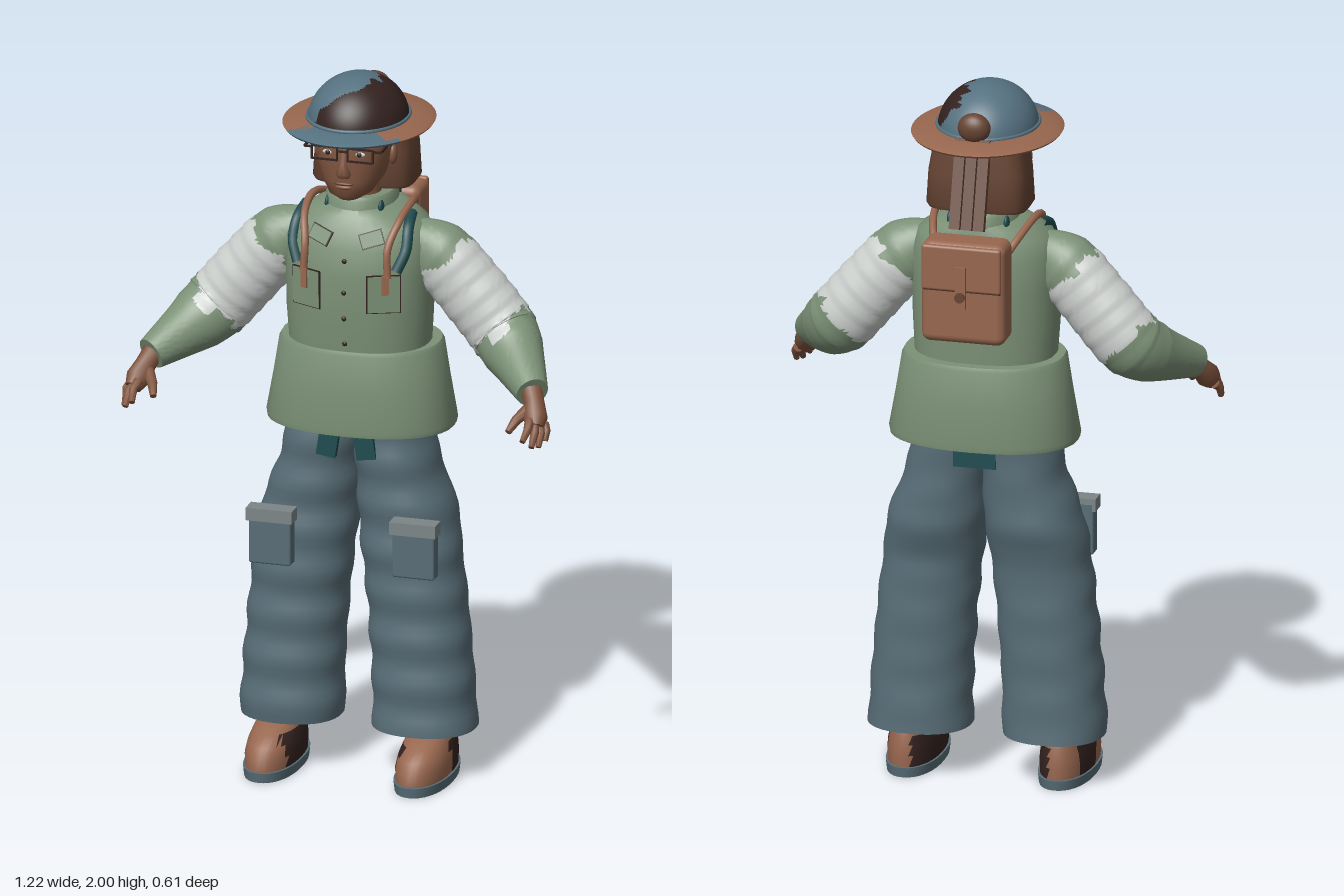
import * as THREE from 'three';
import { toCreasedNormals } from 'three/addons/utils/BufferGeometryUtils.js';
import { RoundedBoxGeometry } from 'three/addons/geometries/RoundedBoxGeometry.js';

const V = (x, y, z) => new THREE.Vector3(x, y, z);
const UP = V(0, 1, 0);

export function createModel() {
  const model = new THREE.Group();
  const colour = (name, color) => Object.assign(new THREE.MeshStandardMaterial({ color }), { name });
  const green = colour('jacket green', 0x7c9177), denim = colour('denim', 0x586d77);
  const blue = colour('helmet blue', 0x557180), leather = colour('leather', 0x98674f);
  const skin = colour('skin', 0x80553f), hairBrown = colour('hair brown', 0x664433);
  const dark = colour('dark brown', 0x33221f), white = colour('bandage white', 0xccd0cd);
  const teal = colour('teal', 0x1f4c50), grey = colour('flap grey', 0x7c8587);

  const add = (name, geo, mat, x = 0, y = 0, z = 0, parent = model) => {
    const m = new THREE.Mesh(geo, mat);
    m.name = name;
    m.position.set(x, y, z);
    parent.add(m);
    return m;
  };
  const box = (name, w, h, d, mat, x, y, z) => add(name, new THREE.BoxGeometry(w, h, d), mat, x, y, z);
  const ball = (name, rx, ry, rz, mat, x, y, z) =>
    add(name, new THREE.SphereGeometry(1, 24, 16).scale(rx, ry, rz), mat, x, y, z);

  // Skin over closed cross-sections: { c: centre, rx, rz, t: direction }
  const loft = (rings, p = 2, sides = 36, crease = 0.9) => {
    const pos = [], idx = [], pw = (v) => Math.sign(v) * Math.abs(v) ** (2 / p);
    rings.forEach(({ c, rx, rz, t = UP }) => {
      const v = V(0, 0, 1).addScaledVector(t, -t.z).normalize(), u = t.clone().cross(v);
      for (let j = 0; j < sides; j++) {
        const a = (j / sides) * Math.PI * 2;
        const q = c.clone().addScaledVector(u, rx * pw(Math.cos(a))).addScaledVector(v, rz * pw(Math.sin(a)));
        pos.push(q.x, q.y, q.z);
      }
    });
    const n = rings.length, first = n * sides, last = first + 1;
    for (const r of [rings[0], rings[n - 1]]) pos.push(r.c.x, r.c.y, r.c.z);
    for (let j = 0; j < sides; j++) {
      const k = (j + 1) % sides, top = (n - 1) * sides;
      for (let i = 0; i < n - 1; i++) {
        const a = i * sides + j, b = i * sides + k;
        idx.push(a, a + sides, b, b, a + sides, b + sides);
      }
      idx.push(first, j, k, last, top + k, top + j);
    }
    const g = new THREE.BufferGeometry();
    g.setAttribute('position', new THREE.Float32BufferAttribute(pos, 3));
    g.setIndex(idx);
    return toCreasedNormals(g, crease);
  };
  // Rows are [y, centre x, centre z, rx, rz]
  const rowAt = (rows, y) => {
    let i = 0;
    while (i < rows.length - 2 && rows[i + 1][0] < y) i++;
    const f = (y - rows[i][0]) / (rows[i + 1][0] - rows[i][0]);
    return rows[i].map((v, k) => v + (rows[i + 1][k] - v) * f);
  };
  const stack = (rows, p, s = 1) =>
    loft(rows.map(([y, x, z, rx, rz]) => ({ c: V(s * x, y, z), rx, rz })), p);
  // Tapered rod through points with a radius at each
  const rod = (pts, radii) => loft(pts.map((c, i) => ({
    c, rx: radii[i], rz: radii[i],
    t: pts[Math.min(i + 1, pts.length - 1)].clone().sub(pts[Math.max(i - 1, 0)]).normalize(),
  })), 2, 10);
  // Give each triangle a material index from its centre
  const paint = (geo, rule) => {
    const g = geo.index ? geo.toNonIndexed() : geo, p = g.attributes.position;
    g.clearGroups();
    let start = 0, current = -1;
    for (let i = 0; i < p.count; i += 3) {
      const c = V(0, 0, 0);
      for (let k = 0; k < 3; k++) c.add(V(p.getX(i + k), p.getY(i + k), p.getZ(i + k)));
      const m = rule(c.divideScalar(3));
      if (m !== current) {
        if (i) g.addGroup(start, i - start, current);
        start = i;
        current = m;
      }
    }
    g.addGroup(start, p.count - start, current);
    return g;
  };

  // Jacket
  const torso = [[1.2, 0, -0.015, 0.195, 0.145], [1.33, 0, -0.01, 0.203, 0.155], [1.45, 0, -0.01, 0.205, 0.157],
    [1.53, 0, -0.012, 0.205, 0.15], [1.585, 0, -0.018, 0.185, 0.135], [1.615, 0, -0.025, 0.135, 0.125],
    [1.635, 0, -0.03, 0.09, 0.115]];
  add('jacketBody', stack(torso, 2.3), green);
  add('jacketSkirt', stack([[0.995, 0, -0.027, 0.262, 0.178], [1.01, 0, -0.027, 0.265, 0.18],
    [1.12, 0, -0.027, 0.245, 0.173], [1.225, 0, -0.027, 0.228, 0.167], [1.236, 0, -0.027, 0.222, 0.163]], 2.3), green);
  add('collar', stack([[1.6, 0, -0.03, 0.098, 0.12], [1.655, 0, -0.03, 0.096, 0.118],
    [1.665, 0, -0.03, 0.09, 0.112]], 2.2), green);
  const chestZ = (x, y) => {
    const [, , cz, rx, rz] = rowAt(torso, y);
    return cz + rz * Math.max(0, 1 - Math.abs(x / rx) ** 2.3) ** (1 / 2.3);
  };
  const plate = (name, w, h, d, mat, x, y, lift = 0, roll = 0) => {
    const m = box(name, w, h, d, mat, x, y, chestZ(x, y) + lift);
    m.rotation.order = 'YXZ';
    m.rotation.y = -Math.atan((chestZ(x + w / 2, y) - chestZ(x - w / 2, y)) / w);
    m.rotation.x = -Math.atan((chestZ(x, y - 0.02) - chestZ(x, y + 0.02)) / 0.04);
    m.rotation.z = roll;
  };
  for (const y of [1.26, 1.335, 1.41, 1.5]) ball('button', 0.007, 0.007, 0.005, dark, 0, y, chestZ(0, y));

  // Helmet
  const wobble = (a) => 0.012 * Math.sin(a * 70) + 0.008 * Math.sin(a * 163 + 1);
  const dome = new THREE.SphereGeometry(1, 96, 36, 0, Math.PI * 2, 0, Math.PI / 2).scale(0.138, 0.132, 0.16);
  add('helmetDome', paint(dome, ({ x, y, z }) =>
    (z > -0.09 + wobble(x + y) && x > 0.05 - 2 * Math.max(0, z - 0.06) + wobble(z + y)
      && x > -0.11 && y > 0.01 ? 1 : 0)), [blue, dark], 0, 1.868, 0.007);
  const brim = new THREE.LatheGeometry([[0.4, 1.868], [0.66, 1.868], [0.98, 1.862], [1, 1.868], [0.95, 1.874],
    [0.66, 1.882], [0.4, 1.882], [0.4, 1.868]].map(([r, y]) => new THREE.Vector2(r, y)), 96).scale(0.207, 1, 0.247);
  add('helmetBrim', paint(toCreasedNormals(brim, 0.6), ({ x, z }) => (z > 0.15 + 0.3 * wobble(x) ? 1 : 0)),
    [leather, blue]);
  const band = new THREE.TorusGeometry(1, 0.035, 8, 64).rotateX(Math.PI / 2).scale(0.139, 0.16, 0.161);
  add('helmetBand', band, blue, 0, 1.884, 0.007);
  ball('helmetKnot', 0.046, 0.042, 0.032, hairBrown, 0, 1.915, -0.145);
  for (const x of [-0.034, 0, 0.034])
    add('helmetRibbon', new THREE.BoxGeometry(0.03, 0.25, 0.022), hairBrown, x, 1.765, -0.187).rotation.x = 0.29;

  // Head and hair
  add('head', stack([[1.672, 0, 0.08, 0.03, 0.045], [1.69, 0, 0.07, 0.06, 0.078], [1.73, 0, 0.05, 0.086, 0.1],
    [1.78, 0, 0.043, 0.1, 0.11], [1.83, 0, 0.043, 0.106, 0.11], [1.88, 0, 0.04, 0.1, 0.105]], 2.2), skin);
  add('neck', new THREE.CylinderGeometry(0.06, 0.065, 0.14, 24), skin, 0, 1.65, 0);
  add('hair', stack([[1.675, 0, -0.075, 0.138, 0.086], [1.685, 0, -0.075, 0.144, 0.09], [1.78, 0, -0.075, 0.138, 0.09],
    [1.875, 0, -0.07, 0.122, 0.085]], 4), hairBrown);
  add('nose', stack([[1.745, 0, 0.145, 0.018, 0.014], [1.757, 0, 0.147, 0.022, 0.02], [1.785, 0, 0.147, 0.012, 0.014],
    [1.82, 0, 0.147, 0.008, 0.006]], 2), skin);
  ball('upperLip', 0.028, 0.006, 0.01, hairBrown, 0, 1.727, 0.146);
  ball('lowerLip', 0.024, 0.007, 0.01, skin, 0, 1.717, 0.146);
  box('glassesBridge', 0.03, 0.005, 0.005, dark, 0, 1.825, 0.163);

  for (const s of [-1, 1]) {
    // Face
    ball('eyeWhite', 0.016, 0.007, 0.006, white, s * 0.045, 1.815, 0.144);
    ball('iris', 0.007, 0.007, 0.004, dark, s * 0.045, 1.815, 0.149);
    box('eyebrow', 0.04, 0.006, 0.008, dark, s * 0.047, 1.846, 0.145);
    ball('ear', 0.012, 0.028, 0.016, skin, s * 0.106, 1.785, 0.03);
    box('templeHair', 0.012, 0.055, 0.045, hairBrown, s * 0.104, 1.845, 0.055);
    for (const y of [1.798, 1.835]) box('glassesRim', 0.072, 0.005, 0.005, dark, s * 0.051, y, 0.16);
    for (const x of [0.015, 0.087]) box('glassesRim', 0.005, 0.04, 0.005, dark, s * x, 1.8165, 0.16);
    box('glassesArm', 0.005, 0.006, 0.13, dark, s * 0.108, 1.83, 0.09).rotation.y = s * 0.02;
    box('glassesHinge', 0.024, 0.006, 0.005, dark, s * 0.098, 1.83, 0.156);

    // Sleeve with a wrapped bandage
    const path = new THREE.CatmullRomCurve3([V(s * 0.13, 1.535, -0.012), V(s * 0.22, 1.495, -0.015),
      V(s * 0.32, 1.39, -0.02), V(s * 0.41, 1.285, -0.012), V(s * 0.45, 1.25, 0.03), V(s * 0.545, 1.185, 0.165)]);
    const radii = [0.06, 0.095, 0.096, 0.096, 0.088, 0.046];
    const rings = [], N = 75;
    for (let i = 0; i <= N; i++) {
      const u = i / N, k = Math.min(4, Math.floor(u * 5)), f = u * 5 - k;
      const r = radii[k] + (radii[k + 1] - radii[k]) * f
        + (u > 0.24 && u < 0.64 ? 0.004 * ((u * 14) % 1) : 0);
      rings.push({ c: path.getPoint(u), rx: r, rz: r * (0.82 + 0.14 * u), t: path.getTangent(u) });
    }
    add('sleeve', paint(loft(rings, 2, 48), ({ x, y, z }) => {
      const along = (s * x - 0.21) * 0.68 - (y - 1.5) * 0.73, w = wobble(z + y * 0.5);
      return along > 0.035 + w && along < 0.275 + w ? 1 : 0;
    }), [green, white]);

    // Hand
    const hand = (name, pts, rr) => add(name, rod(pts.map(([x, y, z]) => V(s * x, y, z)), rr), skin);
    hand('palm', [[0.54, 1.19, 0.158], [0.555, 1.16, 0.18], [0.567, 1.13, 0.21], [0.574, 1.108, 0.235]],
      [0.03, 0.029, 0.035, 0.024]);
    [[0.558, 1.088, 0.302], [0.58, 1.07, 0.29], [0.592, 1.063, 0.262], [0.6, 1.07, 0.225]].forEach(([x, y, z], i) => {
      const a = [0.56 + i * 0.01, 1.128 - i * 0.006, 0.238 - i * 0.012];
      hand('finger', [a, [(a[0] + x) / 2 + 0.005, (a[1] + y) / 2 + 0.006, (a[2] + z) / 2], [x, y, z]],
        [0.014, 0.012, 0.008]);
    });
    hand('thumb', [[0.548, 1.15, 0.19], [0.52, 1.125, 0.235], [0.507, 1.1, 0.268]], [0.018, 0.014, 0.009]);

    // Chest pockets and straps
    plate('lowerPocketEdge', 0.096, 0.11, 0.004, dark, s * 0.11, 1.413, 0.004);
    plate('lowerPocket', 0.09, 0.104, 0.009, green, s * 0.11, 1.413, 0.004);
    plate('flapEdge', 0.066, 0.044, 0.004, dark, s * 0.073, 1.565, 0.005, s * 0.3);
    plate('pocketFlap', 0.06, 0.038, 0.009, green, s * 0.073, 1.565, 0.005, s * 0.3);
    plate('strapTab', 0.02, 0.055, 0.012, leather, s * 0.115, 1.44, 0.008);
    const strap = (name, pts, r, mat) => add(name, new THREE.TubeGeometry(
      new THREE.CatmullRomCurve3(pts.map(([x, y, z]) => V(s * x, y, z))), 40, r, 8), mat);
    strap('backpackStrap', [[0.12, 1.46, 0.13], [0.118, 1.54, 0.122], [0.135, 1.605, 0.07], [0.14, 1.63, -0.03],
      [0.12, 1.6, -0.13], [0.09, 1.55, -0.19]], 0.011, leather);
    strap('tealStrap', [[0.14, 1.475, 0.115], [0.16, 1.53, 0.092], [0.158, 1.585, 0.06], [0.15, 1.61, 0]], 0.016, teal);
    for (const z of [0.045, -0.1]) ball('collarTab', 0.008, 0.022, 0.016, teal, s * (z > 0 ? 0.076 : 0.08), 1.632, z);

    // Trouser leg, with soft folds
    const rows = [[0.138, 0.19, 0.002, 0.143, 0.133], [0.3, 0.184, 0.004, 0.139, 0.128], [0.5, 0.168, 0.002, 0.137, 0.126],
      [0.64, 0.152, 0.004, 0.137, 0.126], [0.75, 0.138, -0.014, 0.136, 0.138], [0.88, 0.11, -0.012, 0.114, 0.135],
      [1.03, 0.088, -0.015, 0.1, 0.134]];
    const folds = [];
    for (let i = 0; i <= 40; i++) {
      const r = rowAt(rows, 0.138 + 0.0223 * i), w = 0.003 * Math.sin(i * 1.1 + s);
      folds.push([r[0], r[1], r[2] + w, r[3] + w, r[4] + w * 0.5]);
    }
    add('trouserLeg', stack(folds, 2.25, s), denim);
    add('thighPocket', new RoundedBoxGeometry(0.12, 0.15, 0.045, 2, 0.006), denim, s * 0.205, 0.685, 0.148);
    box('thighPocketFlap', 0.132, 0.036, 0.052, grey, s * 0.205, 0.753, 0.152);
    box('frontShirtTail', 0.055, 0.075, 0.02, teal, s * 0.053, 0.963, 0.118).rotation.z = s * 0.15;

    // Shoe
    add('shoe', paint(stack([[0.022, 0.215, 0.07, 0.071, 0.164], [0.06, 0.215, 0.07, 0.073, 0.166],
      [0.09, 0.215, 0.06, 0.069, 0.153], [0.115, 0.215, 0.042, 0.062, 0.13], [0.135, 0.215, 0.02, 0.055, 0.103],
      [0.15, 0.215, 0, 0.045, 0.075]], 2.2, s), ({ x, y, z }) => {
      const out = s * x - 0.215;
      return y < 0.112 && ((out < -0.02 && z < 0.17) || (out > 0.02 && z > -0.04 && z < 0.075)) ? 1 : 0;
    }), [leather, dark]);
    add('sole', paint(stack([[0, 0.215, 0.07, 0.074, 0.17], [0.028, 0.215, 0.07, 0.077, 0.174]], 2.2, s),
      ({ y }) => (y < 0.001 ? 1 : 0)), [denim, dark]);
  }
  box('backShirtTail', 0.12, 0.07, 0.02, teal, 0, 0.965, -0.135);

  // Backpack
  add('backpack', new RoundedBoxGeometry(0.236, 0.29, 0.105, 4, 0.025), leather, 0, 1.475, -0.222);
  add('backpackFlap', new RoundedBoxGeometry(0.224, 0.13, 0.018, 3, 0.008), leather, 0, 1.552, -0.28);
  add('flapEdge', new THREE.BoxGeometry(0.218, 0.004, 0.006), dark, 0, 1.486, -0.2755);
  box('backpackTongue', 0.03, 0.12, 0.01, leather, 0, 1.5, -0.291);
  add('backpackClasp', new THREE.CylinderGeometry(0.014, 0.014, 0.014, 20).rotateX(Math.PI / 2), hairBrown, 0, 1.475, -0.298);

  return model;
}
